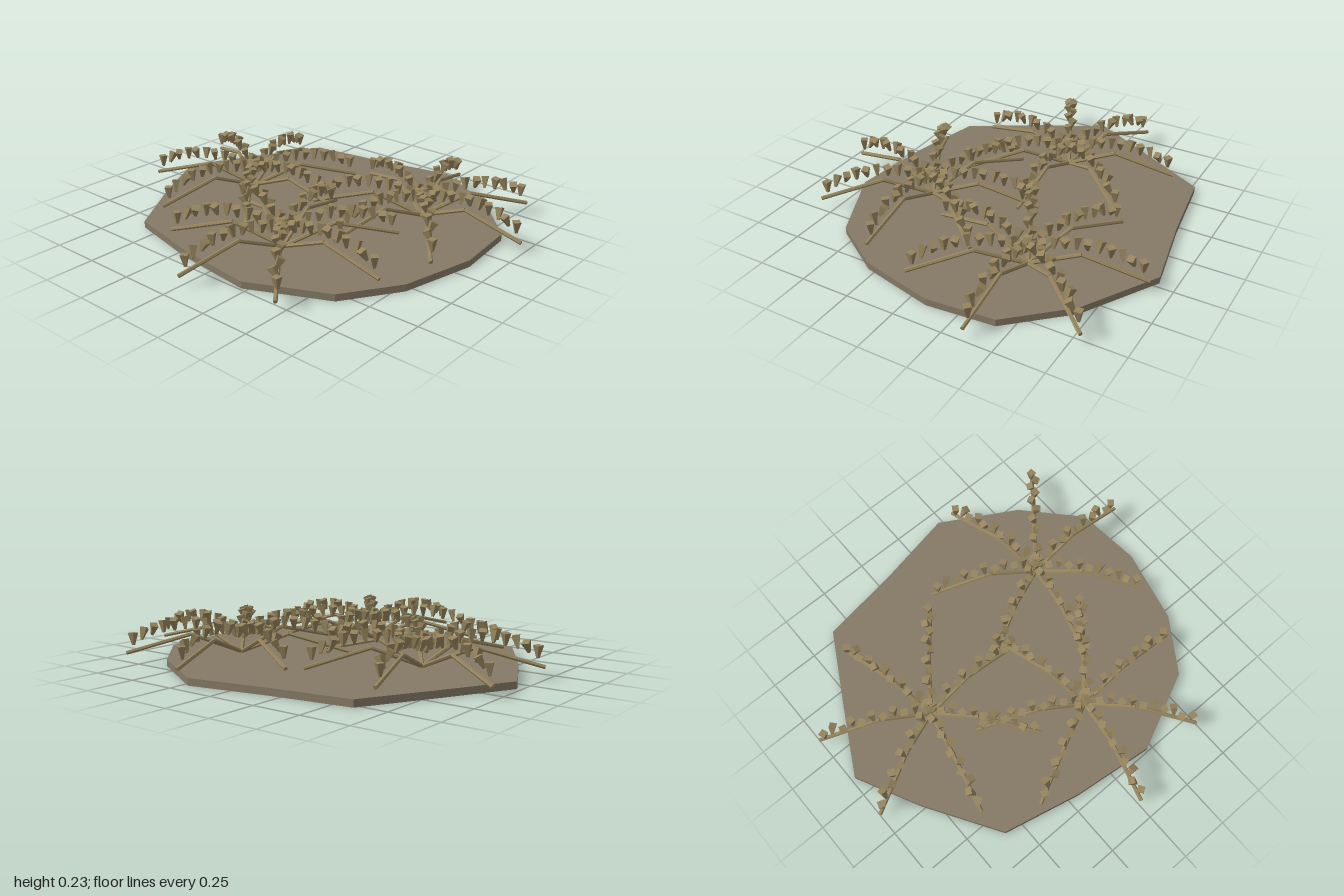
import * as THREE from 'three';

const groundMat = new THREE.MeshStandardMaterial({ color: 0x857a66, flatShading: true });
const plantMat = new THREE.MeshStandardMaterial({ color: 0x94835c, flatShading: true });

// Irregular ground outline, [x, z]
const OUTLINE = [
  [-0.98, -0.09], [-0.79, -0.44], [-0.6, -0.78], [-0.19, -0.84], [0.22, -0.92],
  [0.6, -0.7], [0.85, -0.43], [0.88, -0.09], [0.79, 0.29], [0.61, 0.56],
  [0.22, 0.74], [-0.2, 0.69], [-0.59, 0.6], [-0.82, 0.23],
];
const PLANTS = [[-0.49, -0.1], [0.43, -0.355], [0.135, 0.365]];
const BRANCHES = 7;
const LEAVES = 11;

// Straight stem between two points
function stem(name, a, b, radius) {
  const dir = b.clone().sub(a);
  const mesh = new THREE.Mesh(new THREE.CylinderGeometry(radius, radius, dir.length(), 6), plantMat);
  mesh.name = name;
  mesh.position.copy(a).add(b).multiplyScalar(0.5);
  mesh.quaternion.setFromUnitVectors(new THREE.Vector3(0, 1, 0), dir.normalize());
  return mesh;
}

// Leaf: a four-sided wedge, narrow at the bottom
const leafGeo = new THREE.CylinderGeometry(0.025, 0.008, 0.06, 4);

// Branch along +x: rising stem, drooping stem and an arched row of leaves
function createBranch() {
  const branch = new THREE.Group();
  branch.name = 'branch';
  const knee = new THREE.Vector3(0.25, 0.14, 0);
  branch.add(
    stem('innerStem', new THREE.Vector3(0, 0.04, 0), knee, 0.01),
    stem('outerStem', knee, new THREE.Vector3(0.565, 0.06, 0), 0.01),
  );
  const arch = new THREE.CatmullRomCurve3([
    new THREE.Vector3(0.02, 0.145, 0), new THREE.Vector3(0.14, 0.18, 0),
    new THREE.Vector3(0.28, 0.196, 0), new THREE.Vector3(0.42, 0.175, 0),
    new THREE.Vector3(0.53, 0.13, 0),
  ]);
  for (let i = 0; i < LEAVES; i++) {
    const t = i / (LEAVES - 1);
    const side = i % 2 ? 1 : -1;
    const leaf = new THREE.Mesh(leafGeo, plantMat);
    leaf.name = 'leaf';
    leaf.position.copy(arch.getPointAt(t));
    leaf.position.z = side * 0.006;
    leaf.rotation.set(side * 0.3, i * 1.1, 0.2 - 0.55 * t);
    branch.add(leaf);
  }
  return branch;
}

export function createModel() {
  const model = new THREE.Group();
  model.name = 'plantPatch';

  // Ground slab
  const shape = new THREE.Shape(OUTLINE.map(([x, z]) => new THREE.Vector2(x, -z)));
  const slab = new THREE.ExtrudeGeometry(shape, { depth: 0.035, bevelEnabled: false });
  slab.rotateX(-Math.PI / 2);
  const ground = new THREE.Mesh(slab, groundMat);
  ground.name = 'ground';
  model.add(ground);

  // Three plants, each a ring of equal branches
  for (const [x, z] of PLANTS) {
    const plant = new THREE.Group();
    plant.name = 'plant';
    plant.position.set(x, 0, z);
    for (let k = 0; k < BRANCHES; k++) {
      const branch = createBranch();
      branch.rotation.y = (k / BRANCHES) * Math.PI * 2;
      plant.add(branch);
    }
    model.add(plant);
  }
  return model;
}
